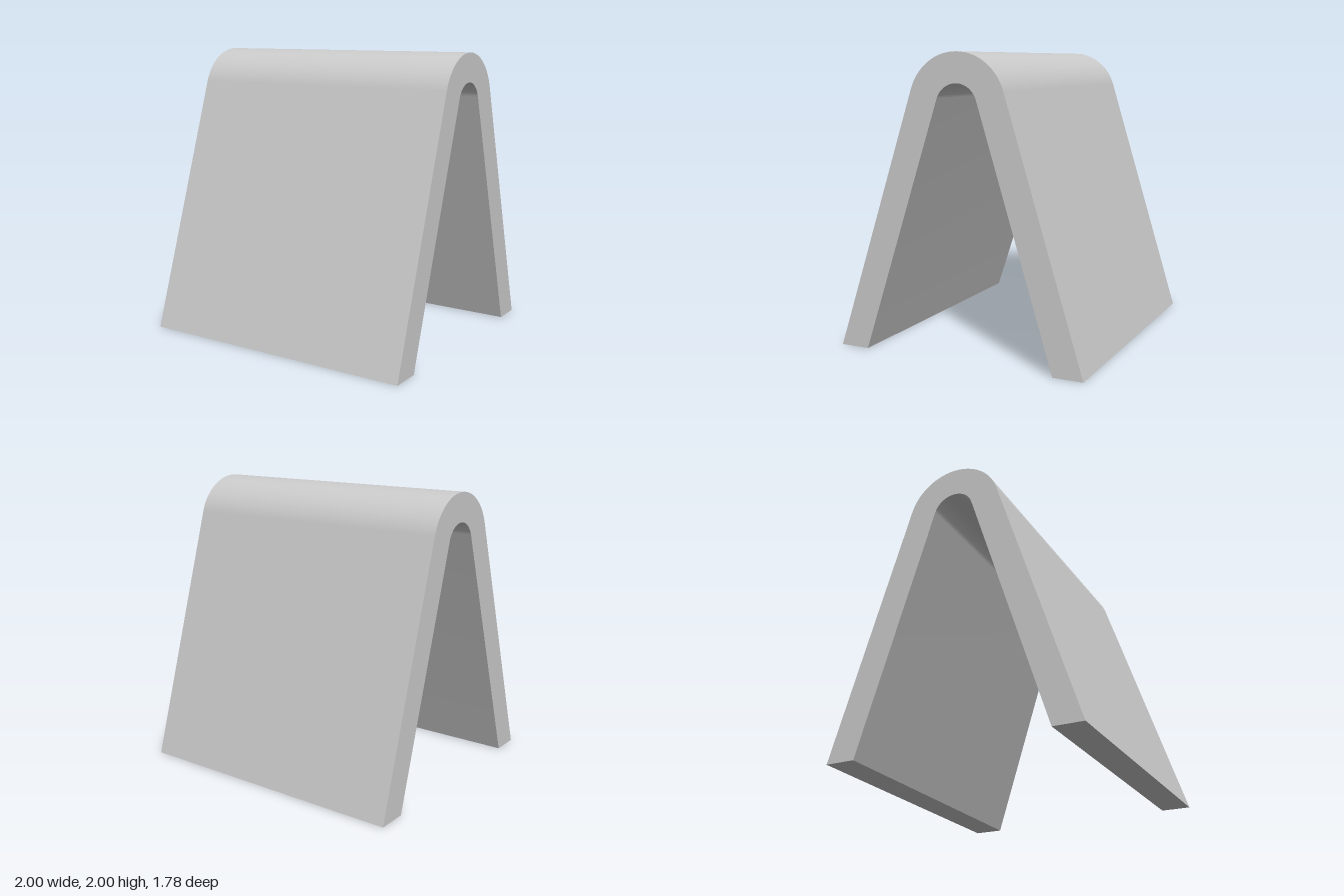
import * as THREE from 'three';
import { toCreasedNormals } from 'three/addons/utils/BufferGeometryUtils.js';

const WIDTH = 2;
const THICKNESS = 0.197;
const FOOT = 0.891; // outer edge of each leg on the ground
const BEND = { u: 0.023, y: 1.655, outer: 0.345 };

// Tilt of the leg that runs tangent from the bend to a foot this far from the bend's axis
function legTilt(reach) {
  const distance = Math.hypot(reach, BEND.y);
  return Math.acos(BEND.outer / distance) - Math.atan2(BEND.y, reach);
}

export function createModel() {
  const group = new THREE.Group();
  group.name = 'bentSheetStand';

  // Side profile: u points to the back, y up
  const front = legTilt(FOOT + BEND.u);
  const back = legTilt(FOOT - BEND.u);
  const inner = BEND.outer - THICKNESS;
  const profile = new THREE.Shape();
  profile.moveTo(FOOT - THICKNESS / Math.cos(back), 0);
  profile.lineTo(FOOT, 0);
  profile.absarc(BEND.u, BEND.y, BEND.outer, back, Math.PI - front, false);
  profile.lineTo(-FOOT, 0);
  profile.lineTo(-FOOT + THICKNESS / Math.cos(front), 0);
  profile.absarc(BEND.u, BEND.y, inner, Math.PI - front, back, true);
  profile.closePath();

  // Sweep the profile across the width, smooth only round the bend
  const extruded = new THREE.ExtrudeGeometry(profile, {
    depth: WIDTH, bevelEnabled: false, curveSegments: 48,
  });
  extruded.translate(0, 0, -WIDTH / 2);
  extruded.rotateY(Math.PI / 2);

  const sheet = new THREE.Mesh(
    toCreasedNormals(extruded, 0.5),
    new THREE.MeshStandardMaterial({ color: 0xcccccc }),
  );
  sheet.name = 'bentSheet';
  group.add(sheet);
  return group;
}
